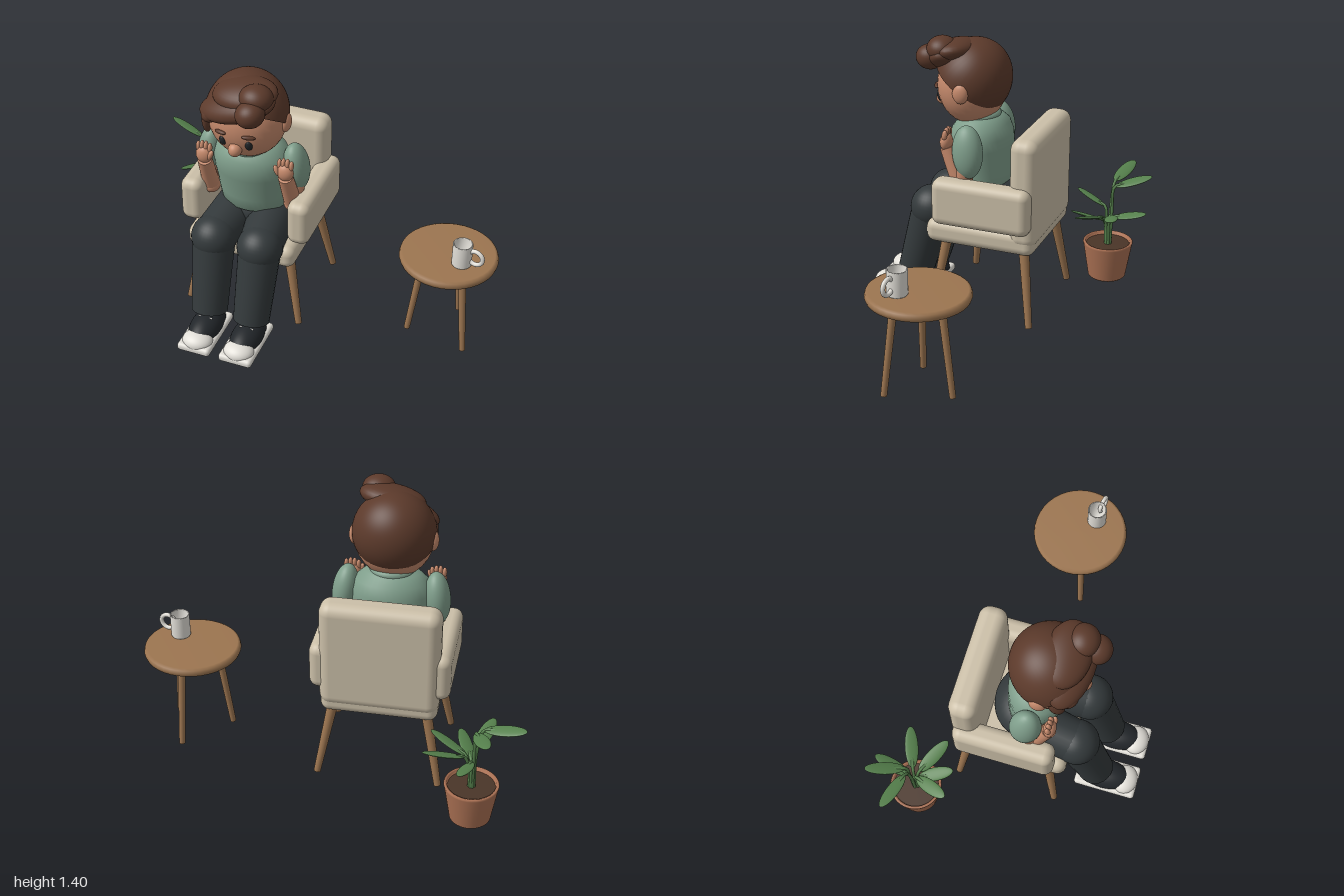
import * as THREE from 'three';
import { RoundedBoxGeometry } from 'three/addons/geometries/RoundedBoxGeometry.js';

const mat = (color, side = THREE.FrontSide) => new THREE.MeshStandardMaterial({ color, side });
const skin = mat(0xc68a6c), hair = mat(0x5c3a2b), knit = mat(0x7f9e8b), pants = mat(0x33393b);
const fabric = mat(0xcbbfa8), wood = mat(0x9c7550), clay = mat(0xae7355), leafGreen = mat(0x55804c);
const white = mat(0xe2dfd8), dark = mat(0x22262a), soil = mat(0x4a3528);
const V = (x, y, z) => new THREE.Vector3(x, y, z);

function add(parent, name, geo, material, pos = [0, 0, 0], rot = [0, 0, 0]) {
  const m = new THREE.Mesh(geo, material);
  m.name = name;
  m.position.set(...pos);
  m.rotation.set(...rot);
  parent.add(m);
  return m;
}

function ball(parent, name, material, pos, radii, rot) {
  const m = add(parent, name, new THREE.SphereGeometry(1, 32, 20), material, pos, rot);
  m.scale.set(...radii);
  return m;
}

// Tapered round bar from a to b
function bar(parent, name, material, a, b, ra, rb) {
  const A = V(...a), B = V(...b), d = B.clone().sub(A);
  const m = add(parent, name, new THREE.CylinderGeometry(rb, ra, d.length(), 24), material);
  m.position.copy(A).add(B).multiplyScalar(0.5);
  m.quaternion.setFromUnitVectors(V(0, 1, 0), d.normalize());
  return m;
}

const box = (parent, name, material, size, r, pos, rot) =>
  add(parent, name, new RoundedBoxGeometry(...size, 5, r), material, pos, rot);

const lathe = (pts) => new THREE.LatheGeometry(pts.map(p => new THREE.Vector2(...p)), 40);

function group(parent, name) {
  const g = new THREE.Group();
  g.name = name;
  parent.add(g);
  return g;
}

function buildChair(parent) {
  const g = group(parent, 'armchair');
  box(g, 'seat', fabric, [0.56, 0.12, 0.56], 0.045, [0, 0.45, 0.02]);
  box(g, 'backrest', fabric, [0.57, 0.55, 0.14], 0.055, [0, 0.705, -0.2]);
  for (const s of [-1, 1]) {
    box(g, 'armrest', fabric, [0.115, 0.235, 0.5], 0.045, [s * 0.278, 0.628, 0]);
    for (const f of [-1, 1])
      bar(g, 'chairLeg', wood, [s * 0.296, 0.03, f * 0.255], [s * 0.225, 0.41, f * 0.2], 0.017, 0.026);
  }
}

function buildHead(parent) {
  const g = group(parent, 'head');
  g.position.set(0, 1.145, 0.156);
  ball(g, 'skull', skin, [0, 0, 0], [0.19, 0.2, 0.17]);
  ball(g, 'nose', skin, [0, -0.095, 0.158], [0.033, 0.034, 0.034]);
  add(g, 'mouth', new THREE.TorusGeometry(0.03, 0.005, 8, 16, 2), dark, [0, -0.17, 0.094], [-0.9, 0, 0.57]);
  for (const s of [-1, 1]) {
    ball(g, 'eye', dark, [s * 0.066, -0.065, 0.148], [0.017, 0.028, 0.012], [0.3, s * 0.35, 0]);
    ball(g, 'eyebrow', hair, [s * 0.07, -0.012, 0.16], [0.033, 0.01, 0.012], [0, s * 0.35, s * -0.1]);
    ball(g, 'ear', skin, [s * 0.188, 0, -0.01], [0.025, 0.05, 0.04]);
  }
  // Hair: cap tilted back, swept fringe, curl and side lock
  const cap = add(g, 'hairCap', new THREE.SphereGeometry(1, 40, 24, 0, Math.PI * 2, 0, Math.PI * 0.52),
    mat(0x5c3a2b, THREE.DoubleSide), [0, 0.02, 0.005], [-0.6, 0, 0]);
  cap.scale.set(0.2, 0.212, 0.192);
  ball(g, 'fringe', hair, [-0.01, 0.108, 0.098], [0.2, 0.062, 0.105], [0.25, 0, 0.32]);
  ball(g, 'fringeTop', hair, [0.02, 0.165, 0.07], [0.16, 0.06, 0.11], [0.2, 0, 0.15]);
  ball(g, 'curl', hair, [0.095, 0.185, 0.12], [0.08, 0.062, 0.075]);
  ball(g, 'frontCurl', hair, [0.09, 0.135, 0.185], [0.07, 0.062, 0.07], [0, 0, 0.3]);
  ball(g, 'fringeTip', hair, [-0.13, 0.05, 0.115], [0.055, 0.04, 0.05], [0, 0, 0.5]);
  ball(g, 'sideLock', hair, [-0.172, 0.0, 0.075], [0.026, 0.085, 0.04]);
}

function buildArm(parent, s) {
  const g = group(parent, 'arm');
  const elbow = [s * 0.215, 0.675, 0.125], wrist = [s * 0.208, 0.875, 0.205];
  ball(g, 'sleeve', knit, [s * 0.222, 0.87, 0.095], [0.062, 0.13, 0.076], [0.1, 0, s * 0.12]);
  bar(g, 'upperArm', skin, [s * 0.228, 0.82, 0.095], elbow, 0.045, 0.04);
  ball(g, 'elbow', skin, elbow, [0.046, 0.046, 0.046]);
  bar(g, 'forearm', skin, elbow, wrist, 0.043, 0.036);
  ball(g, 'palm', skin, [s * 0.208, 0.905, 0.21], [0.042, 0.045, 0.03]);
  for (let i = 0; i < 4; i++) {
    const x = s * 0.208 + (i - 1.5) * 0.02;
    ball(g, 'finger', skin, [x, 0.945 + (i % 3 ? 0.008 : 0), 0.207], [0.0115, 0.027, 0.014], [-0.15, 0, 0]);
  }
  ball(g, 'thumb', skin, [s * 0.17, 0.915, 0.222], [0.013, 0.03, 0.014], [0, 0, s * 0.4]);
}

function buildLeg(parent, s) {
  const g = group(parent, 'leg');
  const knee = [s * 0.12, 0.515, 0.32], hem = [s * 0.112, 0.135, 0.425];
  bar(g, 'thigh', pants, [s * 0.085, 0.54, 0.03], knee, 0.12, 0.108);
  ball(g, 'knee', pants, knee, [0.113, 0.11, 0.113]);
  bar(g, 'trouserLeg', pants, hem, knee, 0.09, 0.105);
  bar(g, 'ankle', skin, [s * 0.112, 0.07, 0.42], [s * 0.112, 0.18, 0.41], 0.05, 0.05);
  // Shoe
  const shoe = group(g, 'shoe');
  shoe.position.set(s * 0.11, 0, 0);
  box(shoe, 'sole', white, [0.172, 0.042, 0.32], 0.018, [0, 0.04, 0.49]);
  ball(shoe, 'shoeUpper', dark, [0, 0.06, 0.475], [0.078, 0.072, 0.142]);
  ball(shoe, 'shoeHeel', dark, [0, 0.07, 0.405], [0.07, 0.065, 0.066]);
  ball(shoe, 'toeCap', white, [0, 0.058, 0.583], [0.077, 0.046, 0.066]);
  for (let i = 0; i < 3; i++) {
    const z = 0.485 + i * 0.03, y = 0.134 - i * 0.009;
    bar(shoe, 'lace', white, [-0.036, y - 0.01, z], [0.036, y - 0.01, z], 0.0045, 0.0045);
  }
  const patch = add(shoe, 'solePatch', new THREE.CylinderGeometry(0.045, 0.045, 0.006, 32), dark, [0, 0.018, 0.49]);
  patch.scale.z = 1.5;
}

function buildPerson(parent) {
  const g = group(parent, 'seatedPerson');
  const torso = add(g, 'sweater', lathe([[0, 0], [0.13, 0.005], [0.163, 0.03], [0.172, 0.1], [0.176, 0.16], [0.186, 0.23],
    [0.188, 0.28], [0.172, 0.335], [0.13, 0.375], [0.08, 0.395], [0, 0.4]]), knit, [0, 0.61, 0.075], [0.11, 0, 0]);
  torso.scale.set(1.03, 1, 0.8);
  add(g, 'collar', new THREE.TorusGeometry(0.09, 0.022, 12, 36), knit, [0, 0.985, 0.125], [Math.PI / 2 + 0.15, 0, 0]);
  bar(g, 'neck', skin, [0, 0.94, 0.12], [0, 1.03, 0.14], 0.075, 0.075);
  ball(g, 'hips', pants, [0, 0.575, 0.04], [0.19, 0.125, 0.165]);
  for (const s of [-1, 1]) {
    buildArm(g, s);
    buildLeg(g, s);
  }
  buildHead(g);
}

function buildTable(parent) {
  const g = group(parent, 'sideTable');
  g.position.set(0.757, 0, -0.245);
  add(g, 'tableTop', lathe([[0, 0.465], [0.222, 0.465], [0.235, 0.472], [0.24, 0.487], [0.235, 0.503], [0.222, 0.51], [0, 0.51]]), wood);
  for (let i = 0; i < 3; i++) {
    const a = Math.PI / 6 + i * Math.PI * 2 / 3, c = Math.cos(a), s = Math.sin(a);
    bar(g, 'tableLeg', wood, [c * 0.178, 0.02, s * 0.178], [c * 0.12, 0.47, s * 0.12], 0.015, 0.019);
  }
  // Mug with handle
  const mug = group(g, 'mug');
  mug.position.set(0.09, 0.51, 0.049);
  add(mug, 'mugBody', lathe([[0, 0], [0.044, 0], [0.048, 0.006], [0.048, 0.12], [0.045, 0.124], [0.041, 0.12], [0.04, 0.02], [0, 0.018]]), white);
  add(mug, 'mugHandle', new THREE.TorusGeometry(0.037, 0.011, 12, 28), white, [0.068, 0.064, 0]);
}

function buildPlant(parent) {
  const g = group(parent, 'pottedPlant');
  g.position.set(-0.753, 0, -0.395);
  add(g, 'pot', lathe([[0, 0], [0.09, 0], [0.098, 0.008], [0.128, 0.188], [0.13, 0.196], [0.125, 0.201], [0.115, 0.198], [0.11, 0.17], [0, 0.17]]), clay);
  add(g, 'soil', new THREE.CylinderGeometry(0.112, 0.11, 0.012, 32), soil, [0, 0.178, 0]);
  // Leaf tips: angle from +x toward +z, reach, height
  const tips = [[-0.55, 0.24, 0.41], [0.31, 0.24, 0.395], [0.97, 0.2, 0.37], [1.75, 0.21, 0.44],
    [3.2, 0.247, 0.575], [4.14, 0.215, 0.56], [4.7, 0.21, 0.395]];
  for (const [a, r, y] of tips) {
    const dir = V(Math.cos(a), 0, Math.sin(a));
    const tip = dir.clone().multiplyScalar(r).setY(y);
    const base = dir.clone().multiplyScalar(Math.max(r - 0.2, 0.025)).setY(y - 0.055);
    const path = new THREE.CatmullRomCurve3([dir.clone().multiplyScalar(0.012).setY(0.17),
      dir.clone().multiplyScalar(0.015).setY(y * 0.55 + 0.06), base, base.clone().lerp(tip, 0.3)]);
    add(g, 'stem', new THREE.TubeGeometry(path, 16, 0.008, 8), leafGreen);
    const leaf = group(g, 'leaf');
    leaf.position.copy(base).lerp(tip, 0.5);
    leaf.rotation.set(0, -a, Math.atan2(0.055, r - 0.025), 'YXZ');
    ball(leaf, 'leafBlade', leafGreen, [0, 0, 0], [base.distanceTo(tip) / 2, 0.008, 0.034], [0.25, 0, 0]);
  }
}

export function createModel() {
  const root = new THREE.Group();
  root.name = 'readingCorner';
  // Chair and sitter share one slightly turned frame
  const seatArea = group(root, 'seatArea');
  seatArea.position.set(-0.207, 0, -0.075);
  seatArea.rotation.y = 0.195;
  buildChair(seatArea);
  buildPerson(seatArea);
  buildTable(root);
  buildPlant(root);
  return root;
}
